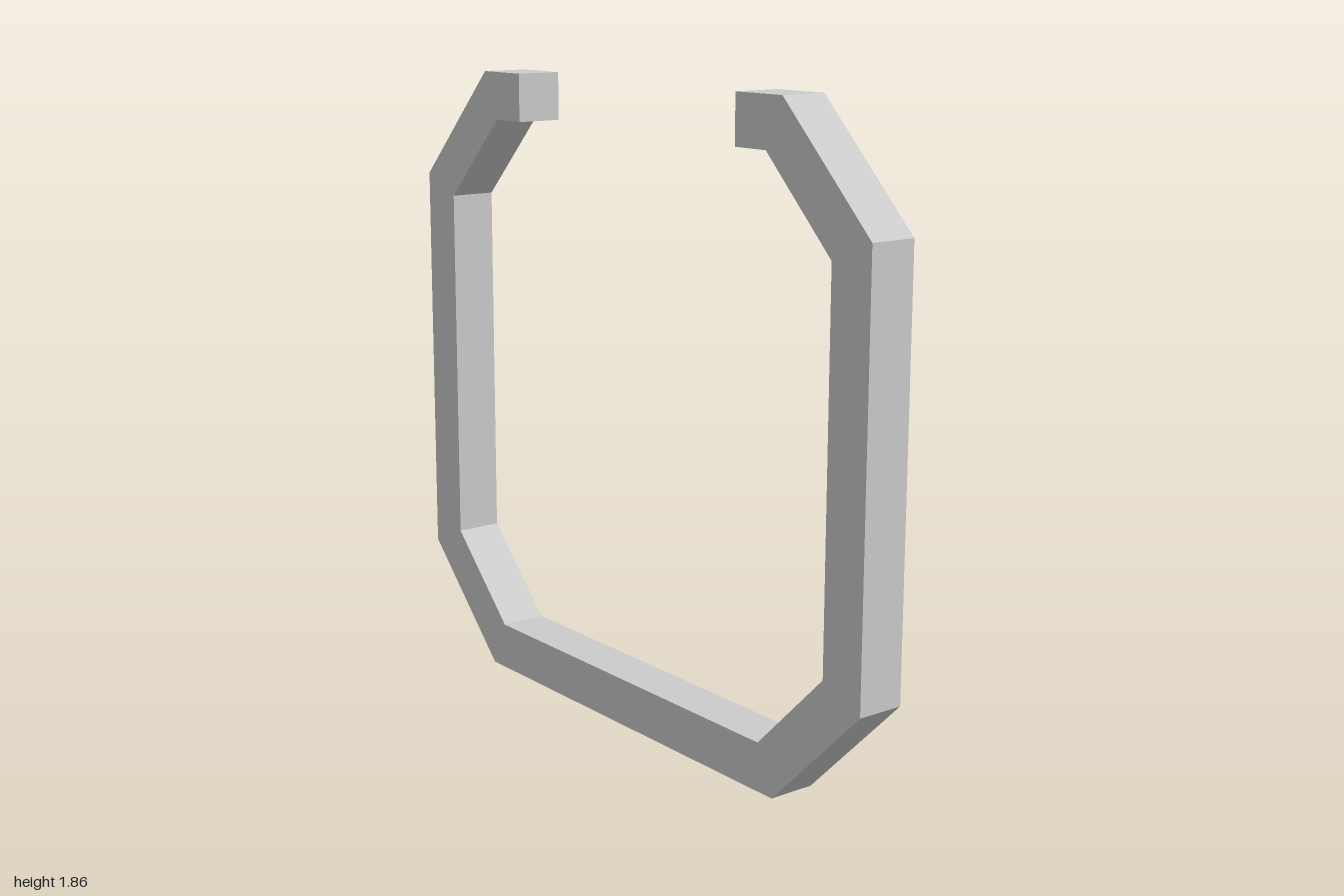
import * as THREE from 'three';

const DEPTH = 0.14;

// Right half of the bar's outline: outer edge from bottom to tip, inner edge back down
const outer = [[0.67, 0], [1, 0.33], [1, 1.53], [0.67, 1.86], [0.49, 1.86]];
const inner = [[0.49, 1.72], [0.61, 1.72], [0.86, 1.47], [0.86, 0.39], [0.61, 0.14]];

export function createModel() {
  const group = new THREE.Group();
  group.name = 'openOctagonalHook';

  // Mirror the half outline to close the C-shaped profile
  const half = [...outer, ...inner];
  const mirrored = half.map(([x, y]) => [-x, y]).reverse();
  const shape = new THREE.Shape([...half, ...mirrored].map(([x, y]) => new THREE.Vector2(x, y)));

  // Square bar with sharp mitred corners
  const geometry = new THREE.ExtrudeGeometry(shape, { depth: DEPTH, bevelEnabled: false });
  geometry.translate(0, 0, -DEPTH / 2);

  const bar = new THREE.Mesh(
    geometry,
    new THREE.MeshStandardMaterial({ color: 0xcccccc, flatShading: true })
  );
  bar.name = 'bentBar';
  group.add(bar);
  return group;
}
